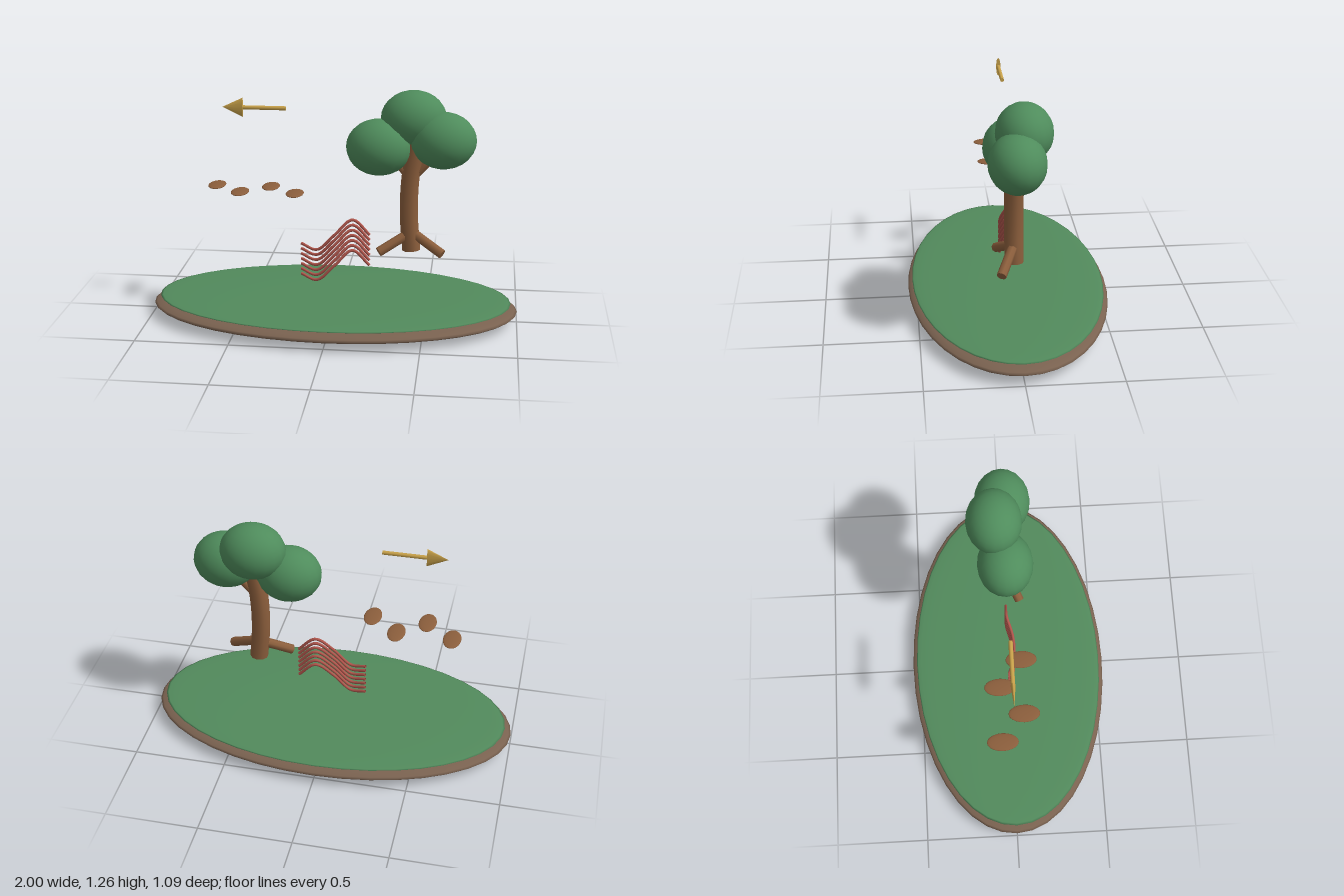
import * as THREE from 'three';

const mat = (color) => new THREE.MeshStandardMaterial({ color });
const V = (p) => new THREE.Vector3(...p);

export function createModel() {
  const model = new THREE.Group();
  const soil = mat(0x7a6250), grass = mat(0x528a5c), leaf = mat(0x4f8c5c);
  const bark = mat(0x8b5e3c), red = mat(0xb0564c), gold = mat(0xc9a24a);

  const add = (name, geometry, material, parent = model) => {
    const mesh = new THREE.Mesh(geometry, material);
    mesh.name = name;
    parent.add(mesh);
    return mesh;
  };
  const ellipsoid = (name, pos, radii, material, ws, hs, parent) => {
    const mesh = add(name, new THREE.SphereGeometry(1, ws, hs), material, parent);
    mesh.position.set(...pos);
    mesh.scale.set(...radii);
    return mesh;
  };
  // Straight rod between two points
  const rod = (name, a, b, r, sides, material, parent) => {
    const from = V(a), to = V(b), dir = to.clone().sub(from);
    const mesh = add(name, new THREE.CylinderGeometry(r, r, dir.length(), sides), material, parent);
    mesh.position.copy(from).lerp(to, 0.5);
    mesh.quaternion.setFromUnitVectors(new THREE.Vector3(0, 1, 0), dir.normalize());
    return mesh;
  };
  const curve = (points) => new THREE.CatmullRomCurve3(points.map(V));

  // Island: flattened soil with a thin grass lens on top
  ellipsoid('soilBase', [0, 0.06, 0], [1, 0.06, 0.545], soil, 40, 20);
  ellipsoid('grassTop', [0, 0.103, 0], [0.965, 0.02, 0.522], grass, 40, 20);

  // Tree: curved trunk with closed ends
  const tree = new THREE.Group();
  tree.name = 'tree';
  model.add(tree);
  const trunkPath = curve([[0.42, 0.395, 0], [0.404, 0.6, 0], [0.41, 0.8, 0], [0.44, 1, 0]]);
  add('trunk', new THREE.TubeGeometry(trunkPath, 20, 0.05, 10), bark, tree);
  for (const [t, s] of [[0, -1], [1, 1]]) {
    const cap = add('trunkEnd', new THREE.CircleGeometry(0.05, 10), bark, tree);
    cap.position.copy(trunkPath.getPointAt(t));
    cap.lookAt(cap.position.clone().addScaledVector(trunkPath.getTangentAt(t), s));
  }
  // Roots and branches on both sides
  for (const s of [-1, 1]) {
    rod('root', [0.42, 0.495, 0], [0.42 + s * 0.17, 0.4, 0.08], 0.026, 8, bark, tree);
    rod('branch', [0.415, 0.79, 0], [0.42 + s * 0.15, 0.96, 0], 0.023, 8, bark, tree);
  }
  // Foliage
  for (const pos of [[0.24, 0.96, 0], [0.42, 1.108, -0.05], [0.58, 1.005, 0]]) {
    ellipsoid('foliage', pos, [0.176, 0.152, 0.148], leaf, 20, 14, tree);
  }

  // Stack of wavy strands
  const strands = new THREE.Group();
  strands.name = 'wavyStrands';
  model.add(strands);
  for (let i = 0; i < 7; i++) {
    const y = i * 0.029;
    const path = curve([[-0.18, 0.233 + y, 0], [-0.09, 0.21 + y, 0.03],
      [0.005, 0.295 + y, 0.03], [0.1, 0.376 + y, 0], [0.194, 0.295 + y, 0]]);
    add('strand', new THREE.TubeGeometry(path, 32, 0.008, 8), red, strands)
      .material.side = THREE.DoubleSide;
  }

  // Alternating footprints
  [-0.65, -0.502, -0.353, -0.205].forEach((x, i) => {
    ellipsoid('footprint', [x, 0.707, i % 2 ? 0.06 : -0.06], [0.048, 0.009, 0.083], bark, 20, 12);
  });

  // Arrow pointing to -x, with a flattened head
  const arrow = new THREE.Group();
  arrow.name = 'arrow';
  model.add(arrow);
  rod('arrowShaft', [-0.258, 1.157, 0], [-0.5, 1.157, 0], 0.011, 10, gold, arrow);
  const head = add('arrowHead', new THREE.ConeGeometry(0.052, 0.11, 12), gold, arrow);
  head.position.set(-0.545, 1.157, 0);
  head.rotation.z = Math.PI / 2;
  head.scale.z = 0.24;

  return model;
}
